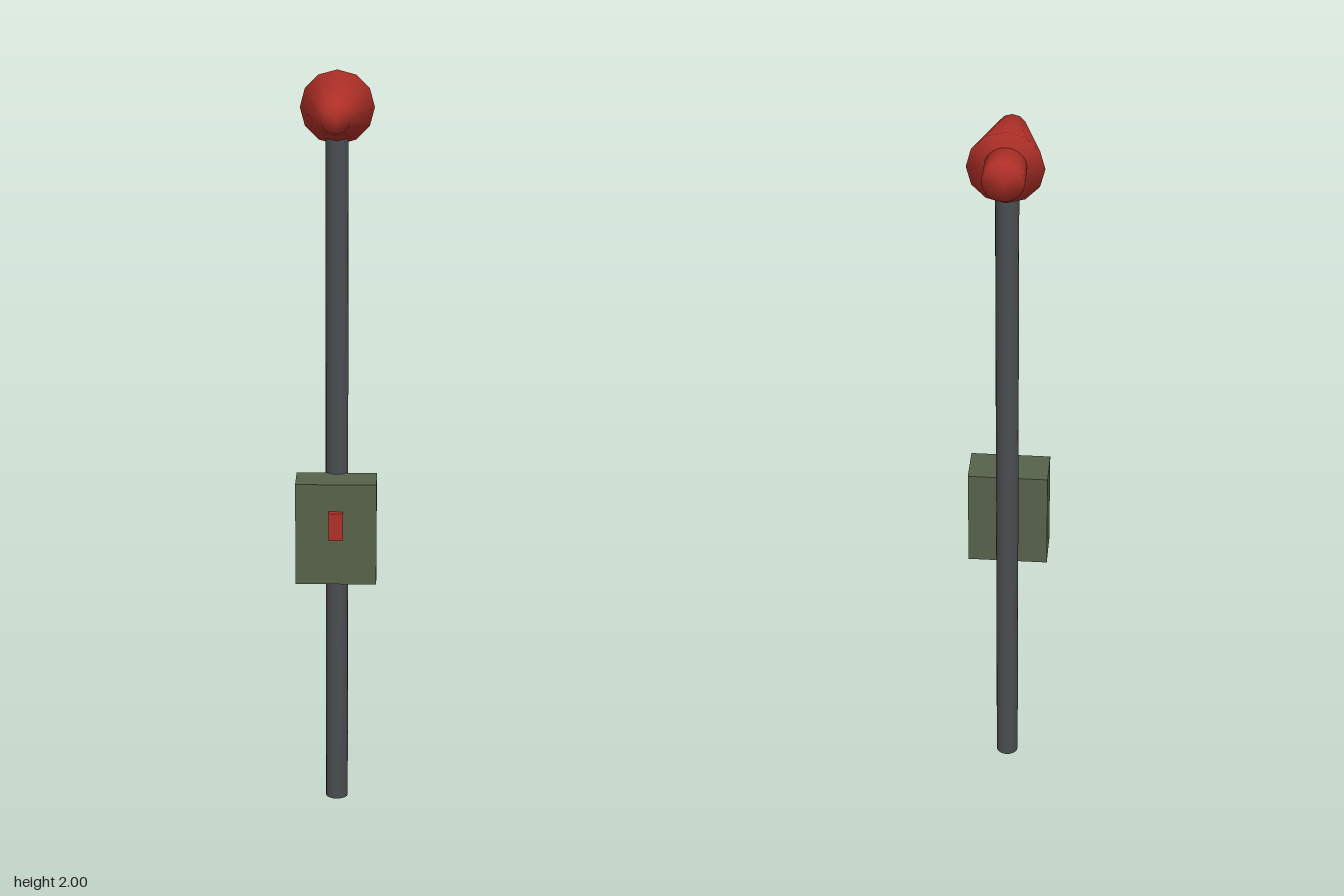
import * as THREE from 'three';
import { mergeVertices } from 'three/addons/utils/BufferGeometryUtils.js';

const paint = (color) => new THREE.MeshStandardMaterial({ color });

// Cylinder whose normals run smoothly over its rims
function softCylinder(rTop, rBottom, length, sides) {
  const g = new THREE.CylinderGeometry(rTop, rBottom, length, sides);
  g.deleteAttribute('uv');
  g.deleteAttribute('normal');
  const merged = mergeVertices(g, 1e-4);
  merged.computeVertexNormals();
  return merged;
}

export function createModel() {
  const model = new THREE.Group();
  const red = paint(0xb03028);
  const green = paint(0x56624a);
  const steel = paint(0x4a4d50);

  function add(name, geometry, material, x, y, z) {
    const mesh = new THREE.Mesh(geometry, material);
    mesh.name = name;
    mesh.position.set(x, y, z);
    model.add(mesh);
    return mesh;
  }

  // Upright pole, set slightly back
  add('pole', softCylinder(0.03, 0.03, 1.85, 20), steel, 0, 0.925, -0.02);

  // Control box with its switch on the front
  add('controlBox', new THREE.BoxGeometry(0.214, 0.276, 0.11), green, 0, 0.8, 0.05);
  add('switch', new THREE.BoxGeometry(0.038, 0.074, 0.022), red, 0, 0.827, 0.114);

  // Siren: tapered horn towards the front, motor housing behind
  const horn = add('sirenHorn', softCylinder(0.037, 0.097, 0.215, 12), red, 0, 1.904, 0.0375);
  const motor = add('sirenMotor', softCylinder(0.053, 0.053, 0.088, 20), red, 0, 1.906, -0.104);
  for (const part of [horn, motor]) part.rotation.x = Math.PI / 2;

  return model;
}
